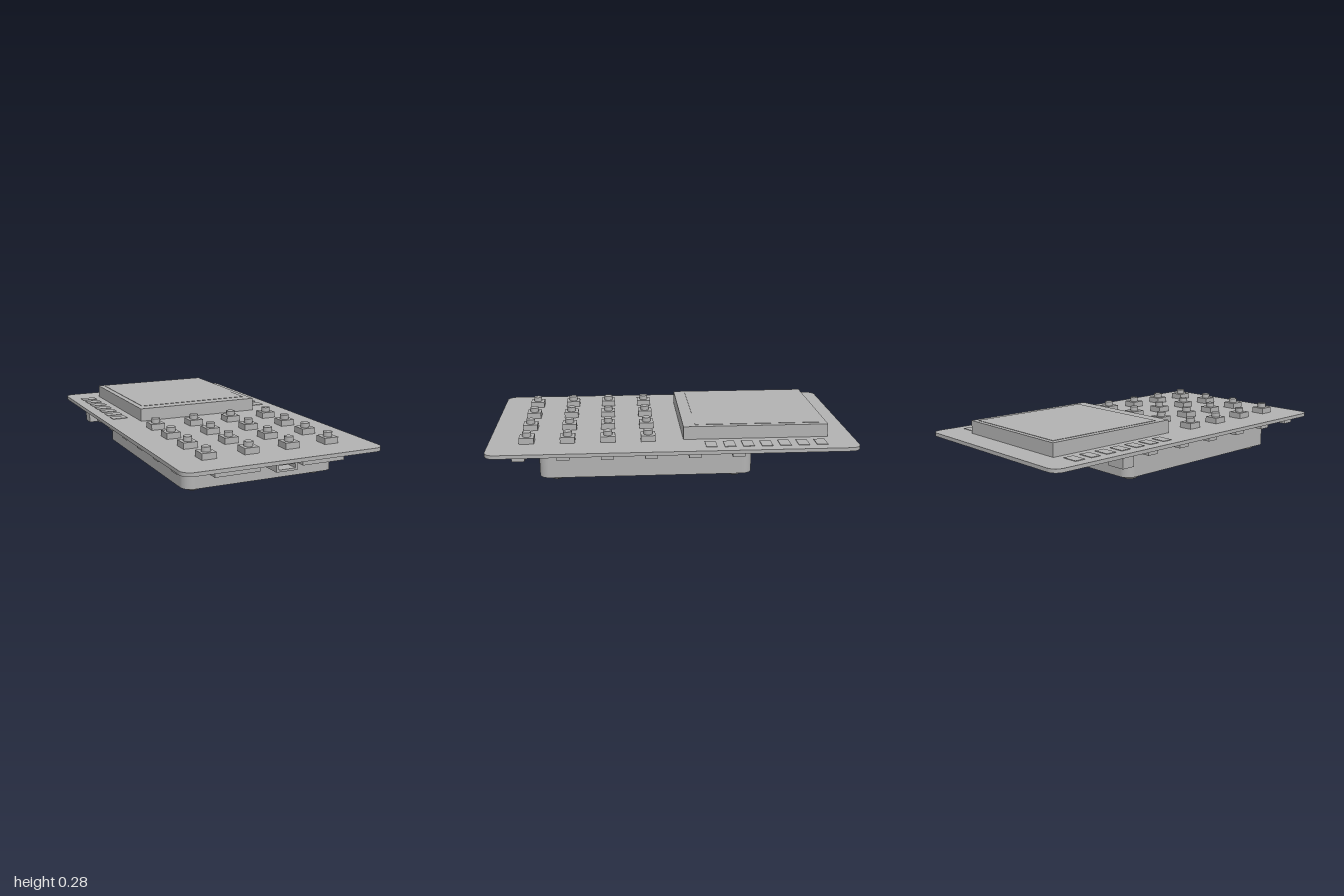
import * as THREE from 'three';

export function createModel() {
  const root = new THREE.Group();
  root.name = 'handheldBoard';
  const grey = new THREE.MeshStandardMaterial({ color: 0xb2b2b2 });
  grey.name = 'plain grey';

  const add = (name, geometry, parent = root) => {
    const mesh = new THREE.Mesh(geometry, grey);
    mesh.name = name;
    parent.add(mesh);
    return mesh;
  };
  const group = (name) => {
    const g = new THREE.Group();
    g.name = name;
    root.add(g);
    return g;
  };
  // Box given by its ranges on each axis
  const box = (name, x0, x1, y0, y1, z0, z1, parent) => add(name,
    new THREE.BoxGeometry(x1 - x0, y1 - y0, z1 - z0)
      .translate((x0 + x1) / 2, (y0 + y1) / 2, (z0 + z1) / 2), parent);
  // Box given by its centre and footprint
  const block = (name, x, z, w, d, y0, y1, parent) =>
    box(name, x - w / 2, x + w / 2, y0, y1, z - d / 2, z + d / 2, parent);
  // Horizontal slab with rounded corners
  const slab = (name, w, z0, z1, r, y0, y1) => {
    const s = new THREE.Shape();
    const a = w / 2;
    s.absarc(a - r, -z0 - r, r, 0, Math.PI / 2);
    s.absarc(-a + r, -z0 - r, r, Math.PI / 2, Math.PI);
    s.absarc(-a + r, -z1 + r, r, Math.PI, Math.PI * 1.5);
    s.absarc(a - r, -z1 + r, r, Math.PI * 1.5, Math.PI * 2);
    s.closePath();
    const g = new THREE.ExtrudeGeometry(s, { depth: y1 - y0, bevelEnabled: false, curveSegments: 10 });
    return add(name, g.rotateX(-Math.PI / 2).translate(0, y0, 0));
  };

  const under = 0.19, top = 0.21;

  // Circuit board and battery case below it
  slab('circuitBoard', 1.118, -1, 1, 0.055, under, top);
  slab('batteryCase', 0.872, -0.432, 0.727, 0.055, 0.032, under);

  // Screen with a thin display area
  box('screenHousing', -0.367, 0.365, top, 0.283, -0.86, -0.058);
  box('screenDisplay', -0.335, 0.333, 0.283, 0.285, -0.835, -0.125);

  // Four by four keypad
  const keypad = group('keypad');
  for (const x of [-0.352, -0.119, 0.114, 0.347]) {
    for (const z of [0.135, 0.354, 0.573, 0.793]) {
      block('keyBase', x, z, 0.08, 0.08, top, 0.243, keypad);
      add('keyPlunger', new THREE.CylinderGeometry(0.024, 0.024, 0.025, 24)
        .translate(x, 0.2555, z), keypad);
    }
  }

  // Contact pads, feet, vents and edge parts, mirrored on both sides
  const pads = group('contactPads');
  const feet = group('feet');
  const vents = group('caseVents');
  const edges = group('edgeComponents');
  for (const side of [-1, 1]) {
    for (let i = 0; i < 7; i++) {
      block('contactPad', side * 0.455, -0.8 + i * 0.1, 0.09, 0.06, top, top + 0.003, pads);
    }
    for (const z of [0.635, -0.34]) {
      const dome = new THREE.SphereGeometry(0.056, 24, 8, 0, Math.PI * 2, Math.PI / 2, Math.PI / 2)
        .scale(1, 0.032 / 0.056, 1).translate(side * 0.355, 0.032, z);
      add('foot', dome, feet);
    }
    for (let i = 0; i < 9; i++) {
      block('ventSlot', side * 0.35, 0.394 - i * 0.0643, 0.1, 0.02, 0.028, 0.032, vents);
    }
    for (let i = 0; i < 6; i++) {
      block('edgeLight', side * 0.501, 0.823 - i * 0.233, 0.068, 0.068, 0.165, under, edges);
    }
    block('frontModule', side * 0.243, 0.83, 0.245, 0.185, 0.145, under, edges);
    block('memoryChip', side * 0.415, -0.655, 0.18, 0.2, 0.176, under, edges);
  }

  // Charging socket, open to the front
  const rect = (path, x, y0, y1) => path.moveTo(-x, y0).lineTo(x, y0).lineTo(x, y1).lineTo(-x, y1).closePath();
  const socket = rect(new THREE.Shape(), 0.06, 0.145, under);
  socket.holes.push(rect(new THREE.Path(), 0.046, 0.156, 0.178));
  add('chargingSocket', new THREE.ExtrudeGeometry(socket, { depth: 0.15, bevelEnabled: false })
    .translate(0, 0, 0.823));
  box('socketBack', -0.05, 0.05, 0.15, 0.185, 0.825, 0.9);
  box('batteryConnector', -0.03, 0.1, 0.14, under, 0.737, 0.81);

  // Chips and controls on the underside
  block('sideConnector', -0.493, -0.528, 0.106, 0.075, 0.13, under);
  block('smallChip', 0.128, -0.565, 0.14, 0.135, 0.182, under);
  block('smallChip', -0.1, -0.577, 0.125, 0.135, 0.182, under);
  block('largeChip', -0.175, -0.835, 0.16, 0.16, 0.165, under);
  block('resetBase', 0.08, -0.835, 0.12, 0.12, 0.158, under);
  add('resetPlunger', new THREE.CylinderGeometry(0.036, 0.036, 0.024, 24).translate(0.08, 0.147, -0.835));

  return root;
}
